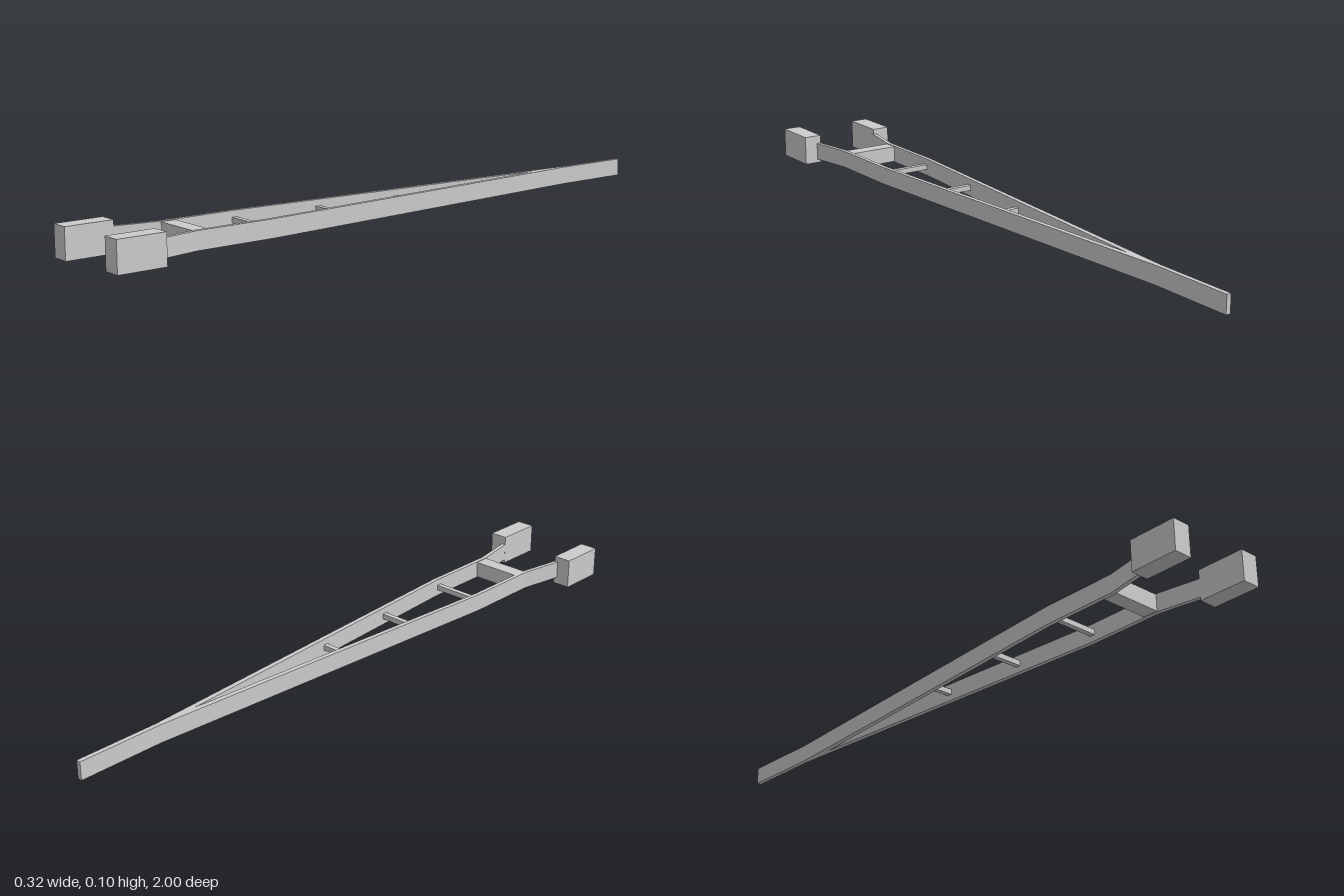
import * as THREE from 'three';

const material = new THREE.MeshStandardMaterial({ color: 0xcccccc, flatShading: true });

function addBox(group, name, size, position) {
  const mesh = new THREE.Mesh(new THREE.BoxGeometry(...size), material);
  mesh.name = name;
  mesh.position.set(...position);
  group.add(mesh);
}

export function createModel() {
  const group = new THREE.Group();
  group.name = 'forkedFrame';

  // Forked rails joined into a narrow tail; half outline as [x, z], tail to fork tip and back
  const half = [
    [0.007, -1], [0.007, -0.74], [0.09, 0.48], [0.09, 0.72], [0.117, 0.87],
    [0.104, 0.87], [0.077, 0.72], [0.077, 0.48], [0, -0.61],
  ];
  const mirrored = half.slice(0, -1).reverse().map(([x, z]) => [-x, z]);
  const outline = [...half, ...mirrored].map(([x, z]) => new THREE.Vector2(x, -z));
  const railGeometry = new THREE.ExtrudeGeometry(new THREE.Shape(outline), {
    depth: 0.054, bevelEnabled: false,
  });
  railGeometry.rotateX(-Math.PI / 2);
  railGeometry.translate(0, 0.021, 0);
  const rails = new THREE.Mesh(railGeometry, material);
  rails.name = 'rails';
  group.add(rails);

  // Heavy cross beam at the base of the fork
  addBox(group, 'crossBeam', [0.158, 0.05, 0.046], [0, 0.048, 0.702]);

  // Thin rungs between the rails: [z, half length]
  for (const [z, reach] of [[-0.067, 0.042], [0.211, 0.061], [0.489, 0.08]]) {
    addBox(group, 'rung', [reach * 2, 0.016, 0.016], [0, 0.048, z]);
  }

  // End blocks on the fork tips, set at slightly different heights
  addBox(group, 'leftBlock', [0.056, 0.091, 0.145], [0.129, 0.0555, 0.9275]);
  addBox(group, 'rightBlock', [0.056, 0.092, 0.145], [-0.131, 0.046, 0.9275]);

  return group;
}
